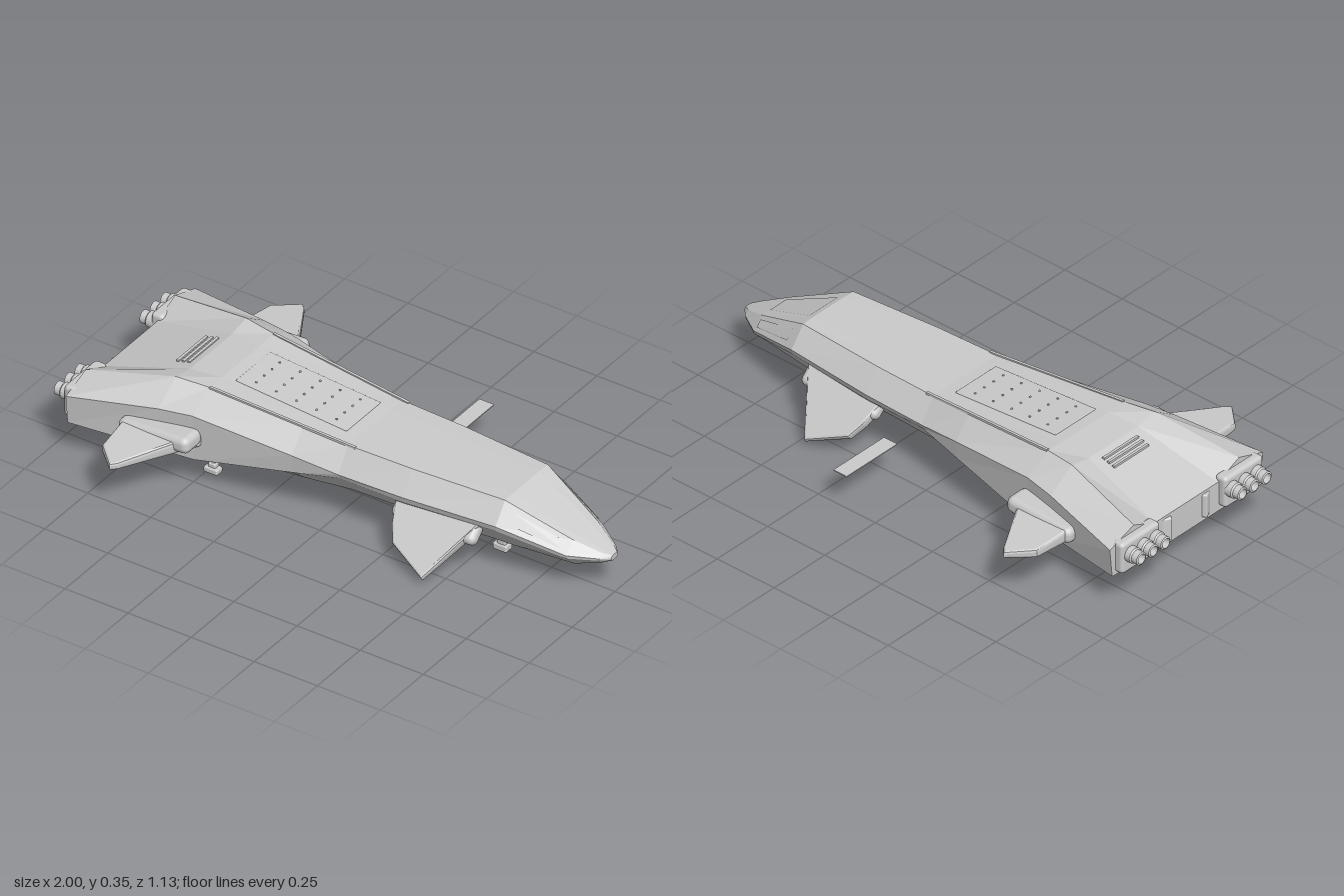
import * as THREE from 'three';
import { RoundedBoxGeometry } from 'three/addons/geometries/RoundedBoxGeometry.js';

const flat = new THREE.MeshStandardMaterial({ color: 0xcccccc, flatShading: true, side: THREE.DoubleSide });
const smooth = new THREE.MeshStandardMaterial({ color: 0xcccccc });

// One hull cross-section, mirrored about z = 0
function hullRing(x, bottomZ, bottomY, sideY, chineZ, chineY, ridgeZ, ridgeY, deckY) {
  const half = [[bottomZ, bottomY], [chineZ * 0.97, sideY], [chineZ, chineY], [ridgeZ, ridgeY], [ridgeZ * 0.6, deckY]];
  const mirrored = half.map(([z, y]) => [-z, y]).reverse();
  return [[0, bottomY], ...half, [0, deckY], ...mirrored].map(([z, y]) => [x, y, z]);
}

function hullGeometry() {
  const rings = [
    hullRing(-0.92, 0.22, 0.13, 0.14, 0.378, 0.25, 0.26, 0.29, 0.245),
    hullRing(-0.6, 0.2, 0.105, 0.118, 0.31, 0.285, 0.205, 0.354, 0.338),
    hullRing(-0.48, 0.19, 0.1, 0.112, 0.288, 0.29, 0.188, 0.348, 0.345),
    hullRing(-0.12, 0.16, 0.112, 0.172, 0.238, 0.243, 0.17, 0.319, 0.319),
    hullRing(0.05, 0.14, 0.12, 0.203, 0.216, 0.22, 0.158, 0.305, 0.306),
    hullRing(0.3, 0.13, 0.12, 0.2, 0.21, 0.222, 0.15, 0.303, 0.304),
    hullRing(0.65, 0.11, 0.12, 0.205, 0.182, 0.225, 0.125, 0.299, 0.301),
    hullRing(0.88, 0.06, 0.099, 0.145, 0.11, 0.158, 0.07, 0.2, 0.203),
    hullRing(0.97, 0.03, 0.121, 0.138, 0.05, 0.146, 0.034, 0.162, 0.164),
    hullRing(1, 0.012, 0.131, 0.137, 0.02, 0.142, 0.014, 0.15, 0.151),
  ];
  const n = rings[0].length, index = [];
  for (let i = 0; i < rings.length - 1; i++) {
    for (let j = 0; j < n; j++) {
      const a = i * n + j, d = i * n + (j + 1) % n, b = a + n, c = d + n;
      index.push(a, b, c, a, c, d);
    }
  }
  // Tail and nose caps
  const last = (rings.length - 1) * n;
  for (let j = 1; j < n - 1; j++) {
    index.push(0, j, j + 1, last, last + j + 1, last + j);
  }
  const g = new THREE.BufferGeometry();
  g.setAttribute('position', new THREE.Float32BufferAttribute(rings.flat(2), 3));
  g.setIndex(index);
  return g;
}

// Flat window patch: two edges at different x, each from upper [y, z] to lower [y, z]
function panelGeometry(x0, upper0, lower0, x1, upper1, lower1) {
  const g = new THREE.BufferGeometry();
  const corners = [[x0, ...upper0], [x0, ...lower0], [x1, ...lower1], [x1, ...upper1]];
  g.setAttribute('position', new THREE.Float32BufferAttribute(corners.flat(), 3));
  g.setIndex([0, 1, 2, 0, 2, 3]);
  return g;
}

// Wing outline in (x, span), bevelled all round and thinning toward the tip
function wingGeometry(outline, span, thick, tipRatio) {
  const bevel = thick * 0.3;
  const g = new THREE.ExtrudeGeometry(new THREE.Shape(outline.map(([x, s]) => new THREE.Vector2(x, s))), {
    depth: thick - 2 * bevel, bevelThickness: bevel, bevelSize: 0.008, bevelOffset: -0.008, bevelSegments: 2,
  });
  g.translate(0, 0, bevel - thick / 2);
  const p = g.attributes.position;
  for (let i = 0; i < p.count; i++) {
    const t = THREE.MathUtils.clamp(p.getY(i) / span, 0, 1);
    p.setZ(i, p.getZ(i) * THREE.MathUtils.lerp(1, tipRatio, t));
  }
  g.rotateX(Math.PI / 2); // span now runs along +z
  return g;
}

// Stepped nozzle, opening toward -x
function nozzleGeometry() {
  const profile = [[0, 0], [0.029, 0], [0.029, 0.035], [0.024, 0.04], [0.024, 0.062], [0.018, 0.065], [0.014, 0.03], [0, 0.03]];
  return new THREE.LatheGeometry(profile.map(([r, y]) => new THREE.Vector2(r, y)), 18).rotateZ(Math.PI / 2);
}

export function createModel() {
  const model = new THREE.Group();
  const add = (name, geo, mat, x, y, z, parent = model) => {
    const m = new THREE.Mesh(geo, mat);
    m.name = name;
    m.position.set(x, y, z);
    parent.add(m);
    return m;
  };
  const box = (w, h, d, r = 0.006) => new RoundedBoxGeometry(w, h, d, 2, r);
  // Round strut between two points
  const strut = (name, a, b, r) => {
    const mid = a.clone().add(b).multiplyScalar(0.5);
    const m = add(name, new THREE.CylinderGeometry(r, r, a.distanceTo(b), 12), smooth, mid.x, mid.y, mid.z);
    m.quaternion.setFromUnitVectors(new THREE.Vector3(0, 1, 0), b.clone().sub(a).normalize());
  };
  const v = (x, y, z) => new THREE.Vector3(x, y, z);

  add('hull', hullGeometry(), flat, 0, 0, 0);

  const rearWing = wingGeometry([[-0.72, 0], [-0.7, 0.21], [-0.62, 0.285], [-0.6, 0.265],
    [-0.54, 0.16], [-0.45, 0]], 0.285, 0.056, 0.45);
  const canard = wingGeometry([[0.25, 0], [0.28, 0.11], [0.31, 0.17], [0.46, 0.245],
    [0.485, 0.2], [0.59, 0]], 0.24, 0.048, 0.5);
  const nozzle = nozzleGeometry();

  for (const s of [1, -1]) {
    // Rear wing with its root fairing
    const wing = add('rearWing', rearWing, flat, 0, 0.202, s * 0.28);
    wing.scale.z = s;
    wing.rotation.x = s * 0.05;
    add('rearWingFairing', box(0.28, 0.062, 0.1, 0.025), smooth, -0.588, 0.205, s * 0.318).rotation.z = 0.06;

    // Drooping front canard with its root fairing
    const fin = add('frontCanard', canard, flat, 0, 0.198, s * 0.155);
    fin.scale.z = s;
    fin.rotation.x = s * 0.78;
    add('canardFairing', box(0.33, 0.05, 0.09, 0.022), smooth, 0.42, 0.168, s * 0.178).rotation.x = s * 0.78;

    // Engine block and its row of nozzles
    add('engineBlock', box(0.05, 0.12, 0.19, 0.015), smooth, -0.925, 0.207, s * 0.255);
    for (let i = 0; i < 3; i++) {
      add('engineNozzle', nozzle, flat, -0.935, 0.217, s * (0.19 + i * 0.06));
    }

    // Tail plates between the engines
    add('tailPlate', box(0.05, 0.09, 0.06), smooth, -0.9, 0.19, s * 0.1).rotation.y = s * 0.5;

    // Long rail along the deck edge
    const rail = add('deckRail', new THREE.BoxGeometry(0.56, 0.008, 0.01), flat, -0.2, 0.326, s * 0.172);
    rail.rotation.set(0, s * 0.055, -0.077);

    // Cockpit side window
    add('sideWindow', panelGeometry(0.69, [0.267, s * 0.132], [0.233, s * 0.159],
      0.87, [0.196, s * 0.086], [0.175, s * 0.106]), flat, 0, 0, 0);

    // Rear landing leg
    strut('rearLeg', v(-0.475, 0.115, s * 0.145), v(-0.48, 0.025, s * 0.162), 0.011);
    strut('rearLegBrace', v(-0.5, 0.105, s * 0.148), v(-0.47, 0.06, s * 0.155), 0.006);
    add('rearFoot', box(0.055, 0.022, 0.036), smooth, -0.48, 0.011, s * 0.166);
    add('rearAnkle', box(0.03, 0.02, 0.026), smooth, -0.48, 0.028, s * 0.163);
  }

  // Windscreen
  add('windscreen', panelGeometry(0.67, [0.295, -0.07], [0.295, 0.07],
    0.87, [0.21, -0.04], [0.21, 0.04]), flat, 0, 0, 0);

  // Nose landing leg
  strut('noseLeg', v(0.53, 0.125, 0), v(0.56, 0.035, 0), 0.013);
  strut('noseLegBrace', v(0.575, 0.12, 0), v(0.555, 0.06, 0), 0.006);
  add('noseFoot', box(0.055, 0.026, 0.04), smooth, 0.555, 0.013, 0);
  add('noseAnkle', box(0.035, 0.022, 0.03), smooth, 0.557, 0.033, 0);

  // Lowered boarding ramp on the right side
  add('boardingRamp', new THREE.BoxGeometry(0.058, 0.004, 0.25), flat, 0.146, 0.134, -0.385);

  // Dorsal hatch plate with studs, and vent slats behind it
  const hatch = new THREE.Group();
  hatch.name = 'dorsalHatch';
  hatch.position.set(-0.215, 0.326, 0);
  hatch.rotation.z = -0.073;
  model.add(hatch);
  add('hatchPlate', box(0.44, 0.006, 0.2, 0.003), smooth, 0, 0, 0, hatch);
  const stud = new THREE.CylinderGeometry(0.004, 0.004, 0.004, 8);
  for (let i = 0; i < 5; i++) {
    for (let j = 0; j < 4; j++) {
      add('hatchStud', stud, smooth, -0.16 + i * 0.08, 0.004, -0.069 + j * 0.046, hatch);
    }
  }
  for (let i = 0; i < 3; i++) {
    add('ventSlat', new THREE.BoxGeometry(0.01, 0.008, 0.17), flat, -0.675 + i * 0.022, 0.319 + i * 0.006, 0);
  }
  return model;
}
